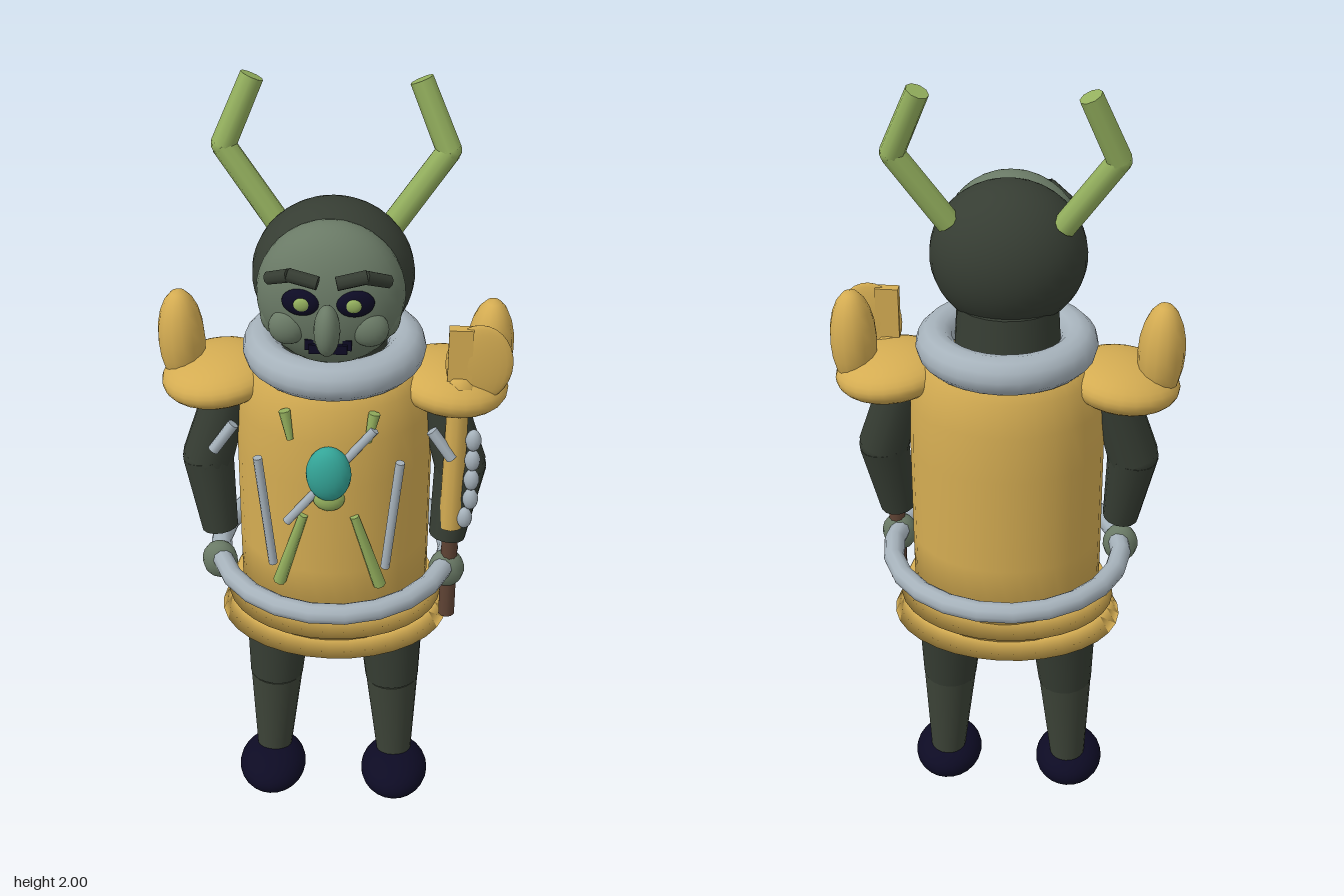
import * as THREE from 'three';

const mat = (name, color) => Object.assign(new THREE.MeshStandardMaterial({ color }), { name });

export function createModel() {
  const M = {
    gold: mat('gold', 0xd4ac52), dark: mat('dark cloth', 0x363d33), shin: mat('shin cloth', 0x3d4438),
    silver: mat('silver', 0xa6b2bb), skin: mat('skin', 0x6a7a66), horn: mat('horn green', 0x94b05e),
    navy: mat('navy', 0x0d0b24), teal: mat('teal', 0x34a598), wood: mat('wood', 0x5f4334),
  };
  M.gold.side = THREE.DoubleSide;
  const root = new THREE.Group();
  const V = (a) => new THREE.Vector3(...a);
  const add = (name, geo, m, p = [0, 0, 0], rot = [0, 0, 0]) => {
    const mesh = new THREE.Mesh(geo, m);
    mesh.name = name;
    mesh.position.set(...p);
    mesh.rotation.set(...rot);
    root.add(mesh);
    return mesh;
  };
  // ellipsoid with given radii
  const ball = (name, m, p, r, rot, seg = 20) =>
    add(name, new THREE.SphereGeometry(1, seg, Math.ceil(seg * 0.7)).scale(...r), m, p, rot);
  // tapered rod from a to b
  const rod = (name, m, a, b, ra, rb = ra, seg = 12) => {
    const A = V(a), B = V(b), d = B.clone().sub(A);
    const mesh = add(name, new THREE.CylinderGeometry(rb, ra, d.length(), seg), m);
    mesh.position.copy(A).add(B).multiplyScalar(0.5);
    mesh.quaternion.setFromUnitVectors(new THREE.Vector3(0, 1, 0), d.normalize());
    return mesh;
  };
  const lathe = (name, m, pts, sz) =>
    add(name, new THREE.LatheGeometry(pts.map((p) => new THREE.Vector2(...p)), 32).scale(1, 1, sz), m);

  // torso and skirt tiers
  lathe('tunic', M.gold, [[0, 0.64], [0.235, 0.64], [0.236, 0.85], [0.236, 1.1], [0.232, 1.22],
    [0.215, 1.3], [0.18, 1.36], [0, 1.37]], 0.89);
  lathe('upperSkirtTier', M.gold, [[0, 0.655], [0.272, 0.655], [0.25, 0.705], [0, 0.705]], 0.82);
  lathe('lowerSkirtTier', M.gold, [[0, 0.595], [0.29, 0.595], [0.265, 0.64], [0, 0.64]], 0.78);
  lathe('hips', M.dark, [[0, 0.545], [0.165, 0.545], [0.165, 0.65], [0, 0.65]], 0.86);
  add('beltHoop', new THREE.TorusGeometry(0.288, 0.026, 10, 22), M.silver, [0, 0.787, 0], [Math.PI / 2, 0, 0]);
  add('collar', new THREE.TorusGeometry(0.17, 0.046, 12, 28), M.silver, [0, 1.368, 0], [Math.PI / 2, 0, 0]);
  rod('neck', M.dark, [0, 1.3, 0.01], [0, 1.46, 0.02], 0.13, 0.12, 20);

  // head
  ball('hair', M.dark, [0, 1.575, 0.038], [0.184, 0.175, 0.158], undefined, 32);
  ball('face', M.skin, [0, 1.572, 0.128], [0.166, 0.17, 0.105], undefined, 28);
  ball('nose', M.skin, [0, 1.545, 0.255], [0.029, 0.06, 0.04]);
  add('mouth', new THREE.BoxGeometry(0.085, 0.022, 0.03), M.navy, [0, 1.482, 0.213]);

  // chest ornaments
  ball('gem', M.teal, [0, 1.145, 0.215], [0.053, 0.072, 0.035]);
  ball('gemCup', M.horn, [0, 1.07, 0.205], [0.038, 0.033, 0.025]);
  rod('strap', M.silver, [-0.1, 1.0, 0.208], [0.105, 1.26, 0.2], 0.011, 0.011, 8);

  for (const s of [-1, 1]) {
    // horns
    const base = [s * 0.13, 1.67, -0.02], bend = [s * 0.25, 1.84, -0.045], tip = [s * 0.185, 1.99, -0.073];
    rod('hornBase', M.horn, base, bend, 0.029, 0.028, 9);
    rod('hornTip', M.horn, bend, tip, 0.029, 0.027, 9);
    ball('hornBend', M.horn, bend, [0.028, 0.028, 0.028], undefined, 10);

    // eyes, brows, cheeks
    ball('eye', M.navy, [s * 0.06, 1.595, 0.222], [0.042, 0.031, 0.018], [0, s * 0.2, 0]);
    ball('pupil', M.horn, [s * 0.056, 1.597, 0.237], [0.018, 0.016, 0.008]);
    rod('browInner', M.dark, [s * 0.02, 1.655, 0.247], [s * 0.085, 1.667, 0.235], 0.016, 0.016, 8);
    rod('browOuter', M.dark, [s * 0.08, 1.667, 0.237], [s * 0.13, 1.64, 0.2], 0.016, 0.015, 8);
    ball('cheek', M.skin, [s * 0.09, 1.523, 0.2], [0.043, 0.042, 0.03]);
    ball('jowl', M.skin, [s * 0.122, 1.525, 0.145], [0.035, 0.05, 0.032]);
    add('mouthCorner', new THREE.BoxGeometry(0.02, 0.025, 0.03), M.navy, [s * 0.042, 1.49, 0.207]);

    // shoulder pads
    ball('shoulderPad', M.gold, [s * 0.275, 1.28, 0], [0.138, 0.06, 0.138], [0, 0, -s * 0.12], 24);
    ball('shoulderSpike', M.gold, [s * 0.363, 1.365, -0.015], [0.056, 0.125, 0.063], [0, 0, -s * 0.03], 14);

    // arms
    const elbow = [s * 0.308, 1.06, 0.025];
    rod('upperArm', M.dark, [s * 0.252, 1.25, 0.01], elbow, 0.055, 0.063, 14);
    ball('elbow', M.dark, elbow, [0.062, 0.05, 0.062]);
    rod('forearm', M.dark, elbow, [s * 0.283, 0.865, 0.05], 0.063, 0.045, 14);
    ball('hand', M.skin, [s * 0.285, 0.772, 0.065], [0.045, 0.053, 0.035], undefined, 12);
    rod('armClasp', M.silver, [s * 0.235, 1.19, 0.085], [s * 0.285, 1.12, 0.095], 0.014, 0.014, 8);

    // chest rods and stalks
    rod('chestRod', M.silver, [s * 0.135, 0.875, 0.207], [s * 0.165, 1.18, 0.21], 0.011, 0.011, 8);
    rod('longStalk', M.horn, [s * 0.122, 0.81, 0.192], [s * 0.06, 1.02, 0.205], 0.016, 0.011, 8);
    rod('shortStalk', M.horn, [s * 0.09, 1.225, 0.196], [s * 0.103, 1.295, 0.185], 0.008, 0.014, 8);

    // legs and shoes
    const knee = [s * 0.154, 0.37, 0.012];
    rod('thigh', M.dark, [s * 0.143, 0.62, -0.008], knee, 0.09, 0.07, 20);
    rod('shin', M.shin, knee, [s * 0.165, 0.09, 0.02], 0.069, 0.045, 20);
    ball('shoe', M.navy, [s * 0.167, 0.064, 0.05], [0.09, 0.06, 0.11], undefined, 24);
  }

  // axe held in the left hand
  rod('axeGrip', M.wood, [0.29, 0.63, 0.065], [0.29, 0.92, 0.065], 0.021, 0.021, 10);
  rod('axeShaft', M.gold, [0.29, 0.91, 0.07], [0.294, 1.3, 0.073], 0.03, 0.026, 10);
  add('axeSocket', new THREE.BoxGeometry(0.056, 0.15, 0.026), M.gold, [0.294, 1.385, 0.073]);
  ball('axeHub', M.gold, [0.294, 1.29, 0.073], [0.045, 0.05, 0.038], undefined, 8);
  ball('axeBlade', M.gold, [0.338, 1.37, 0.073], [0.078, 0.1, 0.014]);
  ball('axeGuard', M.gold, [0.3, 1.285, 0.073], [0.07, 0.045, 0.014]);

  // bead chain beside the shaft
  for (let i = 0; i < 5; i++)
    ball('bead', M.silver, [0.334 - (i === 4 ? 0.012 : 0), 1.17 - i * 0.056, 0.09], [0.019, 0.029, 0.017], undefined, 12);

  return root;
}
